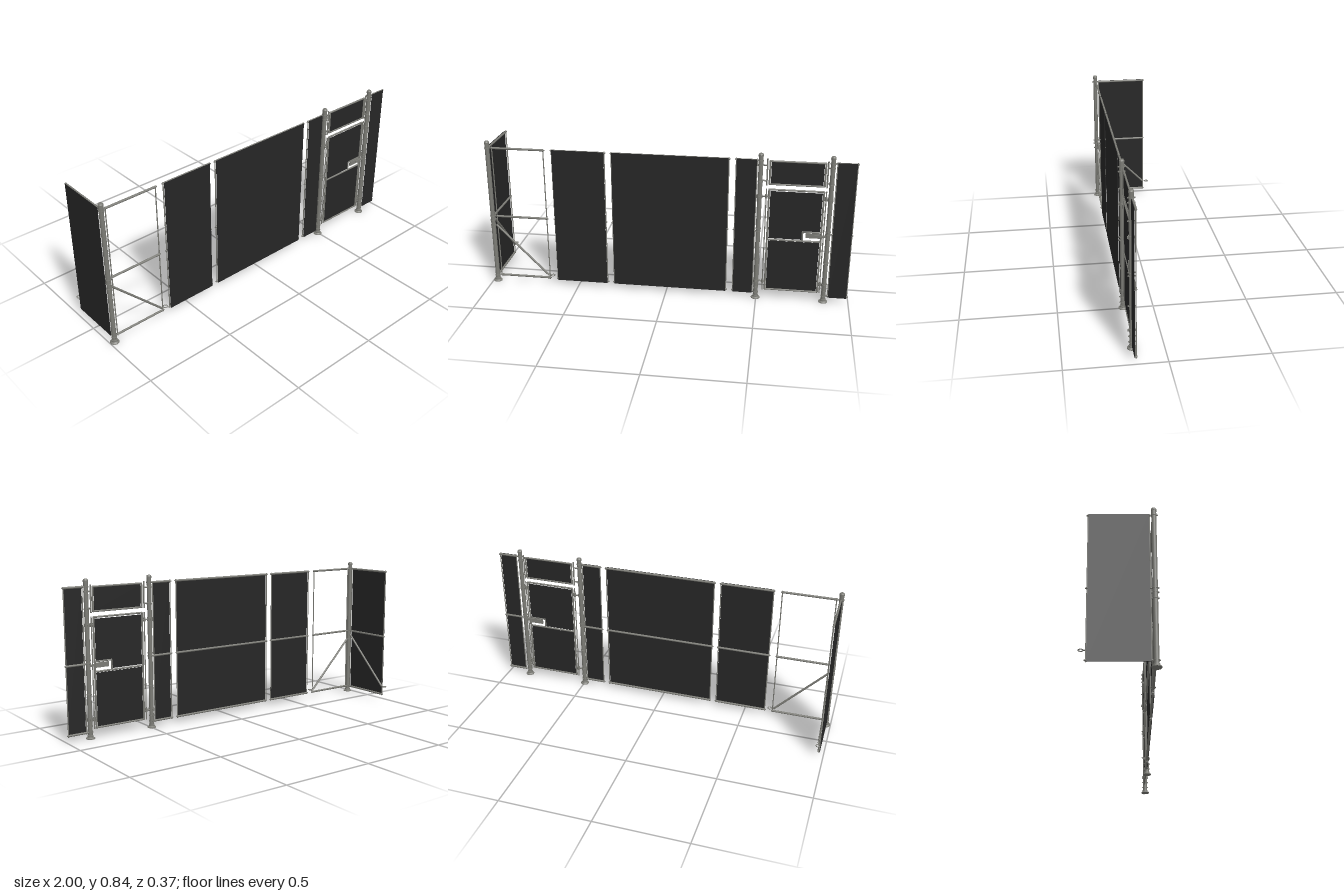
import * as THREE from 'three';

const steel = new THREE.MeshStandardMaterial({ color: 0x7c7c76 });
steel.name = 'galvanised steel';
const cloth = new THREE.MeshStandardMaterial({ color: 0x262626 });
cloth.name = 'black screen cloth';

const WALL_Z = 0.154, SIDE_X = -0.973;
const POSTS = [-0.975, 0.497, 0.865];

function add(parent, name, geo, mat, x = 0, y = 0, z = 0) {
  const m = new THREE.Mesh(geo, mat);
  m.name = name;
  m.position.set(x, y, z);
  parent.add(m);
  return m;
}

// Round tube between two points
function bar(parent, name, a, b, r = 0.006) {
  const A = new THREE.Vector3(...a), B = new THREE.Vector3(...b);
  const d = B.clone().sub(A);
  const m = add(parent, name, new THREE.CylinderGeometry(r, r, d.length(), 12), steel);
  m.position.copy(A).add(B).multiplyScalar(0.5);
  m.quaternion.setFromUnitVectors(new THREE.Vector3(0, 1, 0), d.normalize());
  return m;
}

function box(parent, name, w, h, d, x, y, z, mat = steel) {
  return add(parent, name, new THREE.BoxGeometry(w, h, d), mat, x, y, z);
}

// Post with flared foot, cap and clamp bands
function post(parent, x, bands, thick) {
  const g = new THREE.Group();
  g.name = 'post';
  g.position.set(x, 0, 0.158);
  parent.add(g);
  const profile = [[0, 0], [0.024, 0], [0.024, 0.004], [0.016, 0.01], [0.0155, 0.018], [0.012, 0.019],
    [0.012, 0.818], [0.0135, 0.818], [0.0135, 0.828], [0.01, 0.834], [0, 0.836]];
  const pts = [];
  // doubled corners keep the edges crisp
  profile.forEach(([r, y]) => pts.push(new THREE.Vector2(r, y), new THREE.Vector2(r, y)));
  add(g, 'postTube', new THREE.LatheGeometry(pts, 20), steel);
  for (const y of bands) {
    add(g, 'clampBand', new THREE.CylinderGeometry(0.0145, 0.0145, 0.006, 18), steel, 0, y, 0);
    box(g, 'clampBolt', 0.005, 0.005, 0.038, 0, y, 0);
  }
  for (const y of thick) {
    add(g, 'hingeClamp', new THREE.CylinderGeometry(0.015, 0.015, 0.018, 18), steel, 0, y, 0);
    box(g, 'hingeBolt', 0.008, 0.01, 0.04, 0, y, 0);
  }
  return g;
}

// Fence bay along local x; the cloth covers the +z side of the tubes
function bay(parent, name, a, b, covered = true) {
  const g = new THREE.Group();
  g.name = name;
  parent.add(g);
  for (const y of [0.795, 0.398, 0.036]) {
    bar(g, 'rail', [a, y, 0], [b, y, 0]);
    for (const x of [a, b]) {
      add(g, 'railEnd', new THREE.SphereGeometry(0.0065, 10, 8), steel, x, y, 0);
      bar(g, 'railPin', [x - 0.008, y, 0], [x + 0.008, y, 0], 0.003);
    }
  }
  for (const x of [a, b]) bar(g, 'upright', [x, 0.028, 0], [x, 0.802, 0], 0.003);
  if (covered) box(g, 'screen', b - a - 0.004, 0.772, 0.002, (a + b) / 2, 0.414, 0.0065, cloth);
  return g;
}

// Diagonal brace with a flat eye at its foot
function brace(parent, xTop, yTop, xFoot, yFoot, z) {
  const s = Math.sign(xFoot - xTop);
  bar(parent, 'brace', [xTop, yTop, z], [xFoot, yFoot, z], 0.0058);
  bar(parent, 'braceTip', [xFoot, yFoot, z], [xFoot + s * 0.012, yFoot, z], 0.003);
  const eye = add(parent, 'groundEye', new THREE.TorusGeometry(0.011, 0.0025, 8, 20), steel, xFoot + s * 0.023, yFoot, z);
  eye.rotation.x = Math.PI / 2;
}

// Rectangular tube frame
function frame(parent, name, x0, x1, y0, y1, r) {
  for (const y of [y0, y1]) bar(parent, name + 'Rail', [x0, y, 0], [x1, y, 0], r);
  for (const x of [x0, x1]) {
    bar(parent, name + 'Stile', [x, y0, 0], [x, y1, 0], r);
    for (const y of [y0, y1]) add(parent, name + 'Corner', new THREE.SphereGeometry(r, 10, 8), steel, x, y, 0);
  }
}

function gate(parent) {
  const g = new THREE.Group();
  g.name = 'gate';
  parent.add(g);

  // Fixed panel above the gate leaf
  frame(g, 'transom', 0.546, 0.83, 0.667, 0.793, 0.005);
  box(g, 'transomScreen', 0.27, 0.118, 0.002, 0.688, 0.73, 0, cloth);

  // Gate leaf
  frame(g, 'leaf', 0.546, 0.83, 0.055, 0.637, 0.005);
  bar(g, 'leafMidRail', [0.546, 0.352, 0], [0.83, 0.352, 0], 0.005);
  box(g, 'lowerScreen', 0.27, 0.285, 0.002, 0.688, 0.203, 0, cloth);

  // Upper screen, notched around the latch opening
  const s = new THREE.Shape();
  [[0.553, 0.36], [0.73, 0.36], [0.73, 0.408], [0.823, 0.408], [0.823, 0.628], [0.553, 0.628]]
    .forEach(([x, y], i) => (i ? s.lineTo(x, y) : s.moveTo(x, y)));
  add(g, 'upperScreen', new THREE.ExtrudeGeometry(s, { depth: 0.002, bevelEnabled: false }), cloth, 0, 0, -0.001);
  bar(g, 'latchTopRail', [0.732, 0.406, 0], [0.83, 0.406, 0], 0.0045);
  bar(g, 'latchStile', [0.732, 0.352, 0], [0.732, 0.406, 0], 0.0045);
  box(g, 'latchPlate', 0.075, 0.026, 0.008, 0.787, 0.386, 0);
  box(g, 'latchBolt', 0.06, 0.01, 0.012, 0.825, 0.386, 0.004);

  // Thin side tubes and the arms tying them to the posts
  for (const [side, px] of [[0.532, 0.497], [0.842, 0.865]]) {
    bar(g, 'sideTube', [side, 0.66, 0], [side, 0.805, 0], 0.004);
    bar(g, 'sideTube', [side, 0.05, 0], [side, 0.64, 0], 0.003);
    for (const y of [0.77, 0.685]) bar(g, 'transomArm', [px, y, 0], [side, y, 0], 0.004);
    for (const y of [0.598, 0.102]) {
      bar(g, 'hingeArm', [px, y, 0], [side + (px < side ? 0.014 : -0.012), y, 0], 0.004);
      add(g, 'hingeBarrel', new THREE.CylinderGeometry(0.007, 0.007, 0.02, 12), steel, side, y, 0);
    }
  }
}

export function createModel() {
  const root = new THREE.Group();
  root.name = 'fence';

  // Posts
  post(root, POSTS[0], [0.795, 0.398, 0.375, 0.345, 0.036], []);
  for (const x of POSTS.slice(1))
    post(root, x, [0.795, 0.77, 0.68, 0.415, 0.398, 0.235, 0.068, 0.036], [0.598, 0.102]);

  // Front run
  const front = new THREE.Group();
  front.name = 'frontRun';
  front.position.z = WALL_Z;
  root.add(front);
  bay(front, 'openBay', -0.951, -0.666, false);
  bay(front, 'narrowBay', -0.62, -0.332);
  bay(front, 'wideBay', -0.294, 0.332);
  bay(front, 'gateLeftBay', 0.37, 0.478);
  bay(front, 'endBay', 0.888, 0.99);
  brace(front, -0.958, 0.345, -0.672, 0.052, 0);
  gate(front);

  // Rail ties from each post to the neighbouring bay
  for (const y of [0.795, 0.398, 0.036])
    for (const [x, e] of [[POSTS[0], -0.951], [POSTS[1], 0.478], [POSTS[2], 0.888]])
      bar(front, 'railTie', [x, y, 0], [e, y, 0], 0.0035);

  // Side run, turned so the cloth faces -x
  const side = new THREE.Group();
  side.name = 'sideRun';
  side.position.x = SIDE_X;
  side.rotation.y = -Math.PI / 2;
  root.add(side);
  bay(side, 'sideBay', -0.15, 0.137);
  brace(side, 0.139, 0.375, -0.15, 0.087, -0.004);
  for (const y of [0.795, 0.398, 0.036]) bar(side, 'railTie', [0.137, y, 0], [0.155, y, 0], 0.0035);

  return root;
}
